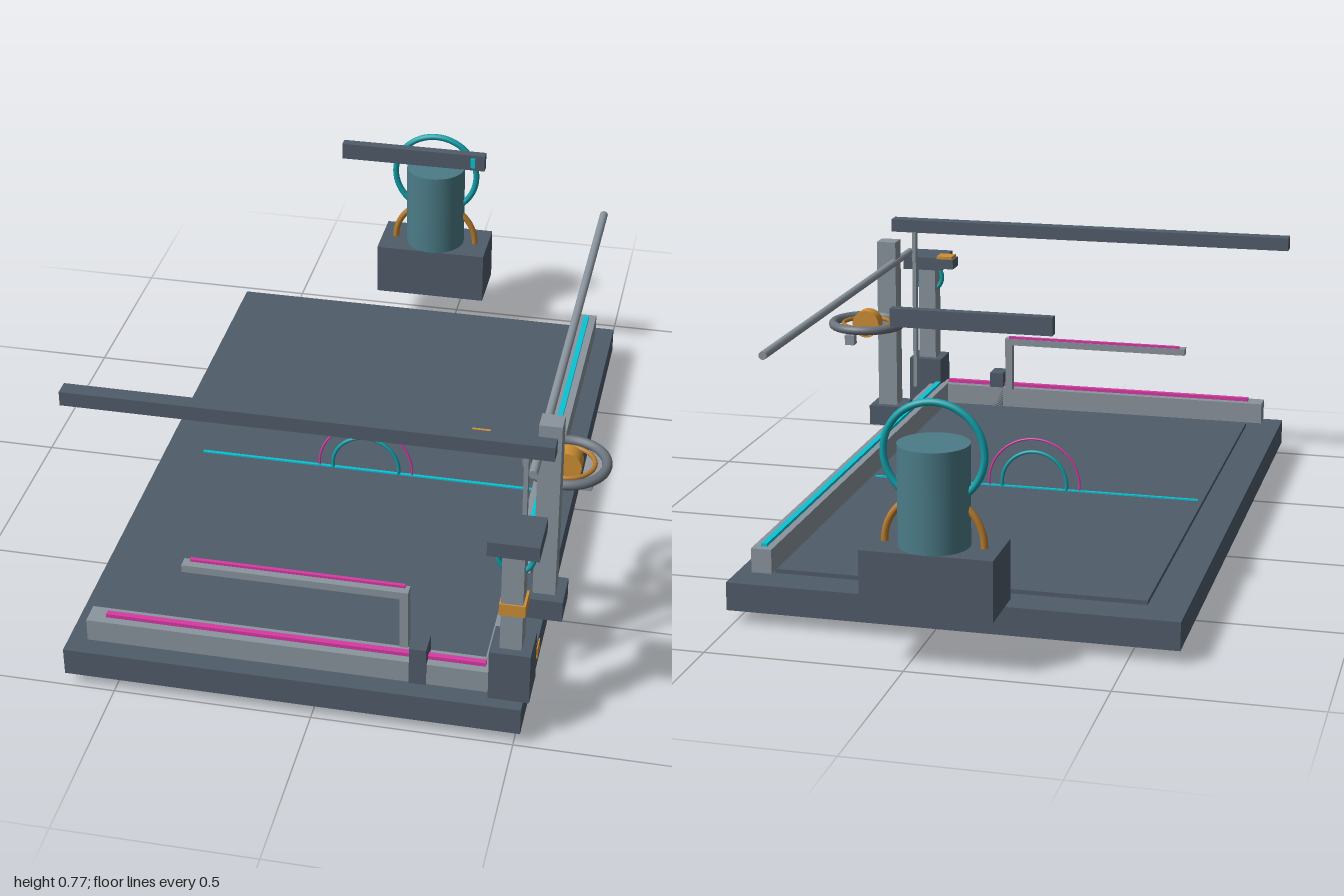
import * as THREE from 'three';

const mat = (name, color) => Object.assign(new THREE.MeshStandardMaterial({ color }), { name });

export function createModel() {
  const root = new THREE.Group();
  root.name = 'machine';
  const slate = mat('slate', 0x505c6a);
  const steel = mat('steel', 0x8b959e);
  const gunmetal = mat('gunmetal', 0x6a727b);
  const drumTeal = mat('drumTeal', 0x4c7c88);
  const teal = mat('teal', 0x0f9ea8);
  const cyan = mat('cyan', 0x08c4d6);
  const magenta = mat('magenta', 0xd63aa4);
  const amber = mat('amber', 0xcf8f35);
  const bronze = mat('bronze', 0xb57a2c);

  const add = (name, geometry, material, x, y, z) => {
    const mesh = new THREE.Mesh(geometry, material);
    mesh.name = name;
    mesh.position.set(x, y, z);
    root.add(mesh);
    return mesh;
  };
  // Box given by its limits on each axis
  const box = (name, material, [x0, x1], [y0, y1], [z0, z1]) =>
    add(name, new THREE.BoxGeometry(x1 - x0, y1 - y0, z1 - z0), material,
      (x0 + x1) / 2, (y0 + y1) / 2, (z0 + z1) / 2);
  // Ring standing in the xy plane
  const ring = (name, material, radius, tube, x, y, z) =>
    add(name, new THREE.TorusGeometry(radius, tube, 12, 64), material, x, y, z);

  // Base and raised bed
  box('base', slate, [-0.626, 0.516], [0.04, 0.113], [-0.8, 0.997]);
  box('bed', slate, [-0.528, 0.42], [0.113, 0.124], [-0.704, 0.904]);
  box('sideBadge', amber, [0.513, 0.519], [0.073, 0.105], [0.704, 0.747]);

  // Front and side rails with glowing strips
  box('frontRail', steel, [-0.573, 0.463], [0.125, 0.185], [0.902, 0.96]);
  box('frontStrip', magenta, [-0.528, 0.42], [0.185, 0.195], [0.924, 0.939]);
  box('sideRail', steel, [0.415, 0.468], [0.125, 0.188], [-0.745, 0.91]);
  box('sideStrip', cyan, [0.433, 0.448], [0.188, 0.196], [-0.725, 0.895]);

  // Raised arm over the front rail
  box('armBlock', slate, [0.237, 0.279], [0.126, 0.23], [0.902, 0.965]);
  box('armLeg', steel, [0.202, 0.223], [0.185, 0.349], [0.876, 0.906]);
  box('armBeam', steel, [-0.338, 0.223], [0.329, 0.349], [0.876, 0.906]);
  box('armStrip', magenta, [-0.321, 0.212], [0.349, 0.356], [0.878, 0.887]);

  // Corner column
  box('cornerFoot', slate, [0.433, 0.533], [0.128, 0.267], [0.882, 0.984]);
  box('cornerShaft', steel, [0.455, 0.508], [0.267, 0.554], [0.906, 0.963]);
  box('cornerBand', amber, [0.451, 0.514], [0.368, 0.4], [0.902, 0.967]);
  box('cornerCap', slate, [0.423, 0.546], [0.554, 0.593], [0.87, 0.993]);
  ring('cornerRing', teal, 0.042, 0.007, 0.483, 0.519, 0.935);

  // Tall column with hanging and horizontal rods
  box('columnFoot', slate, [0.463, 0.567], [0.137, 0.196], [0.566, 0.67]);
  box('columnShaft', steel, [0.487, 0.544], [0.196, 0.695], [0.589, 0.643]);
  box('hangingRod', steel, [0.472, 0.483], [0.212, 0.693], [0.752, 0.774]);
  add('longRod', new THREE.CylinderGeometry(0.011, 0.011, 1.317, 20), steel,
    0.493, 0.633, 0.104).rotation.x = Math.PI / 2;

  // Overhead bars
  box('frontBar', slate, [-0.658, 0.546], [0.695, 0.733], [0.748, 0.789]);
  box('backBar', slate, [-0.26, 0.15], [0.734, 0.78], [-0.579, -0.553]);
  box('backBarMark', cyan, [0.111, 0.123], [0.744, 0.772], [-0.553, -0.547]);

  // Floating sensor
  box('sensorBody', slate, [0.318, 0.374], [0.617, 0.645], [0.616, 0.674]);
  box('sensorLid', amber, [0.323, 0.369], [0.645, 0.653], [0.621, 0.669]);

  // Hand wheel with hub
  for (const [name, material, radius, tube] of [
    ['wheelRim', gunmetal, 0.1, 0.013], ['wheelInnerRing', bronze, 0.07, 0.006]])
    ring(name, material, radius, tube, 0.538, 0.477, 0.465).rotation.x = Math.PI / 2;
  add('wheelHub', new THREE.CylinderGeometry(0.04, 0.04, 0.043, 24), amber,
    0.538, 0.477, 0.467).rotation.x = Math.PI / 2;
  box('wheelGrip', steel, [0.577, 0.605], [0.409, 0.438], [0.453, 0.481]);

  // Centre line and arches on the bed
  box('centreLine', cyan, [-0.515, 0.405], [0.122, 0.128], [0.096, 0.104]);
  ring('outerArch', magenta, 0.129, 0.003, -0.055, 0.138, 0.1);
  ring('innerArch', teal, 0.092, 0.005, -0.055, 0.138, 0.1);

  // Rear drum with its rings
  box('drumFoot', slate, [-0.219, 0.107], [0.147, 0.299], [-1, -0.832]);
  add('drum', new THREE.CylinderGeometry(0.087, 0.087, 0.249, 32), drumTeal, -0.055, 0.4235, -0.915);
  ring('drumUpperRing', teal, 0.123, 0.009, -0.055, 0.523, -0.915);
  ring('drumLowerRing', bronze, 0.122, 0.009, -0.055, 0.302, -0.915);

  return root;
}
